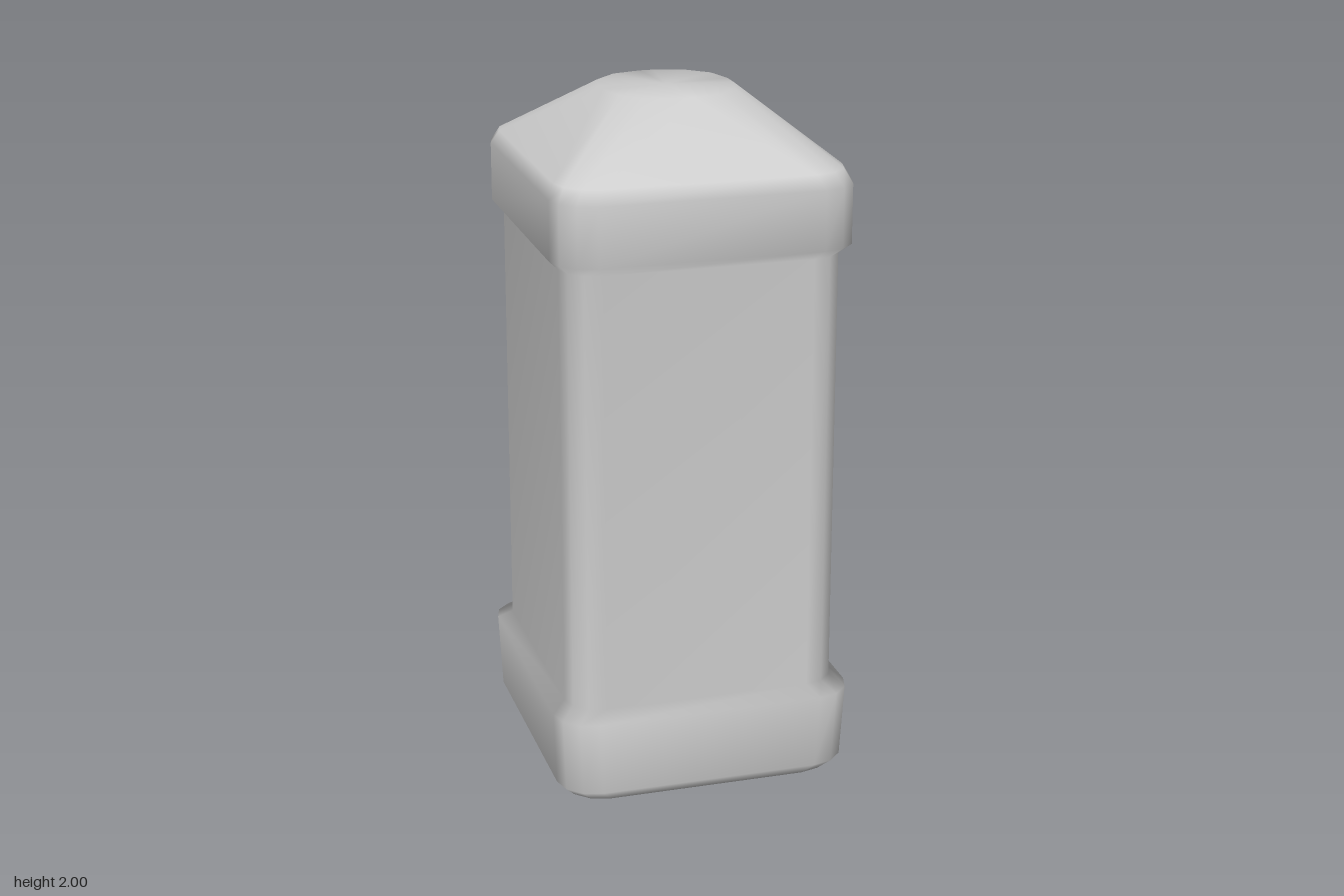
import * as THREE from 'three';

// Rings from bottom to top: [half width x, half depth z, y, corner radius]
const RINGS = [
  [0.34, 0.37, 0.005, 0.09],
  [0.40, 0.43, 0.015, 0.11],
  [0.43, 0.46, 0.05, 0.11],
  [0.44, 0.47, 0.27, 0.11],
  [0.40, 0.43, 0.30, 0.10],
  [0.40, 0.43, 1.58, 0.10],
  [0.43, 0.463, 1.61, 0.11],
  [0.43, 0.463, 1.78, 0.11],
  [0.41, 0.44, 1.82, 0.11],
  [0.19, 0.20, 2.0, 0.17],
];
const STEPS = 3; // segments per rounded corner

// Rounded rectangle, counterclockwise seen from above
function ringPoints([hx, hz, y, r]) {
  const points = [];
  for (let c = 0; c < 4; c++) {
    const sx = c === 0 || c === 3 ? 1 : -1;
    const sz = c < 2 ? -1 : 1;
    for (let k = 0; k <= STEPS; k++) {
      const a = (c + k / STEPS) * Math.PI / 2;
      points.push(sx * (hx - r) + r * Math.cos(a), y, sz * (hz - r) - r * Math.sin(a));
    }
  }
  return points;
}

// Smooth skin through all rings, closed at both ends
function loft(rings) {
  const n = 4 * (STEPS + 1);
  const positions = rings.flatMap(ringPoints);
  const bottom = rings.length * n, top = bottom + 1;
  positions.push(0, 0, 0, 0, rings[rings.length - 1][2], 0);
  const index = [];
  const last = (rings.length - 1) * n;
  for (let j = 0; j < n; j++) {
    const k = (j + 1) % n;
    for (let i = 0; i < last; i += n) {
      index.push(i + j, i + k, i + n + k, i + j, i + n + k, i + n + j);
    }
    index.push(bottom, k, j, top, last + j, last + k);
  }
  const geometry = new THREE.BufferGeometry();
  geometry.setAttribute('position', new THREE.Float32BufferAttribute(positions, 3));
  geometry.setIndex(index);
  geometry.computeVertexNormals();
  return geometry;
}

export function createModel() {
  const group = new THREE.Group();
  group.name = 'pillar';
  // Base, shaft and sloped cap form one continuous surface
  const post = new THREE.Mesh(loft(RINGS), new THREE.MeshStandardMaterial({ color: 0xcccccc }));
  post.name = 'post';
  group.add(post);
  return group;
}
